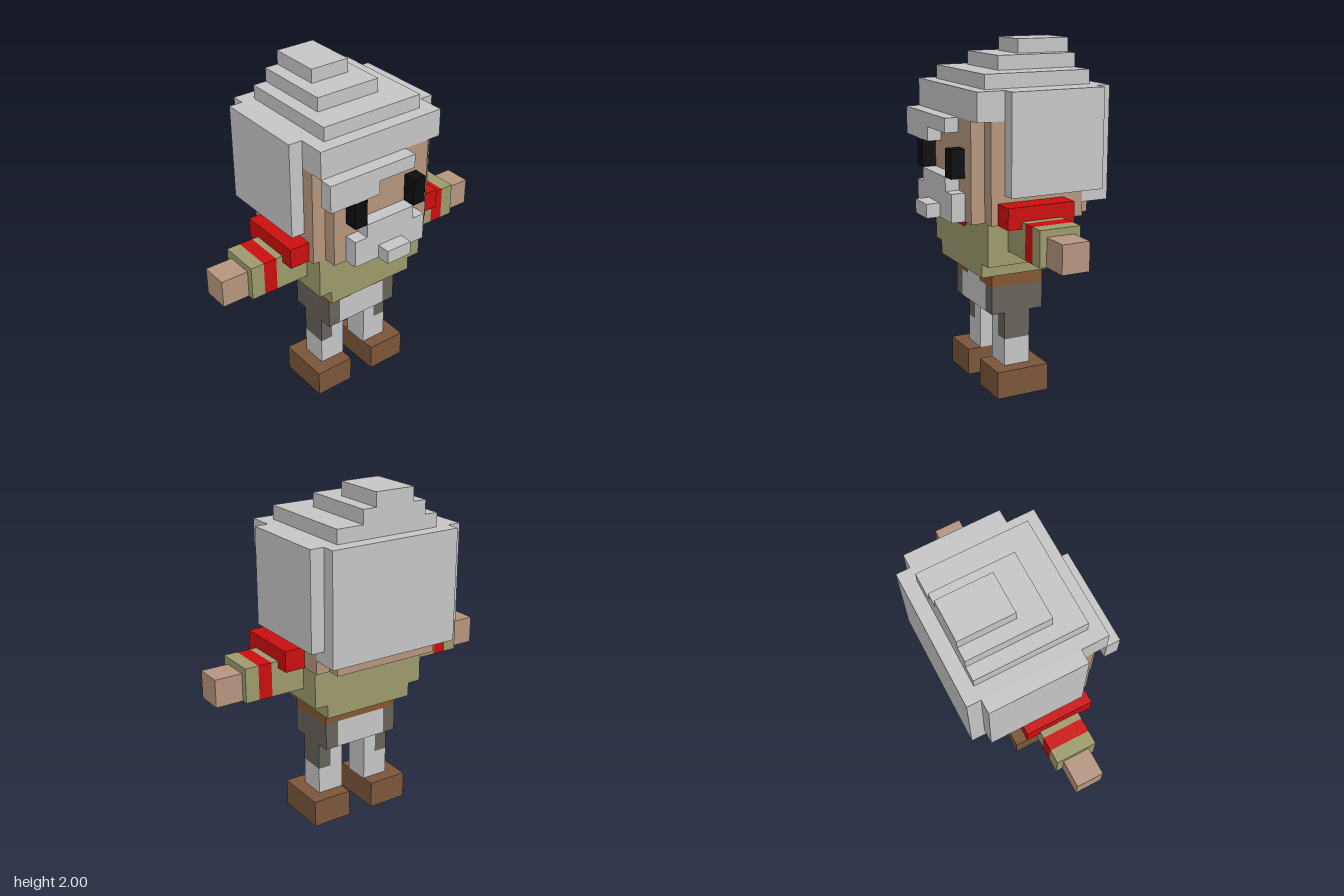
import * as THREE from 'three';

const paint = (name, color) => {
  const m = new THREE.MeshStandardMaterial({ color });
  m.name = name;
  return m;
};

export function createModel() {
  const root = new THREE.Group();
  root.name = 'blockFigure';
  const grey = paint('hair grey', 0xc5c5c5);
  const skin = paint('skin', 0xb5957e);
  const red = paint('red', 0xcb0e0e);
  const olive = paint('olive', 0x9c9a6b);
  const dark = paint('dark cloth', 0x66615a);
  const brown = paint('boot brown', 0x7a5539);
  const belt = paint('belt brown', 0x85552f);
  const black = paint('black', 0x0c0c0c);

  // Block given by its limits on each axis
  const block = (name, mat, [x0, x1], [y0, y1], [z0, z1]) => {
    const mesh = new THREE.Mesh(new THREE.BoxGeometry(x1 - x0, y1 - y0, z1 - z0), mat);
    mesh.position.set((x0 + x1) / 2, (y0 + y1) / 2, (z0 + z1) / 2);
    mesh.name = name;
    root.add(mesh);
  };
  // Same block on both sides
  const pair = (name, mat, [x0, x1], y, z) => {
    block(name + 'Left', mat, [x0, x1], y, z);
    block(name + 'Right', mat, [-x1, -x0], y, z);
  };

  // Boots and legs
  pair('boot', brown, [0.08, 0.32], [0, 0.16], [-0.16, 0.16]);
  pair('shin', grey, [0.08, 0.24], [0.16, 0.32], [-0.08, 0.08]);
  pair('innerKnee', grey, [0.08, 0.16], [0.32, 0.48], [-0.08, 0.08]);
  pair('outerKnee', dark, [0.16, 0.24], [0.32, 0.48], [-0.08, 0.08]);

  // Hips and belt
  block('hips', grey, [-0.16, 0.16], [0.48, 0.64], [-0.16, 0.16]);
  pair('hipSide', dark, [0.16, 0.24], [0.48, 0.64], [-0.16, 0.16]);
  pair('beltSide', belt, [0.08, 0.24], [0.64, 0.72], [-0.16, 0.16]);
  block('beltBack', belt, [-0.08, 0.08], [0.64, 0.72], [-0.16, -0.08]);
  block('beltGap', grey, [-0.08, 0.08], [0.64, 0.72], [-0.08, 0.16]);

  // Torso with a small scarf tip
  block('waist', olive, [-0.28, 0.28], [0.72, 0.8], [-0.24, 0.24]);
  block('chest', olive, [-0.36, 0.36], [0.8, 1.04], [-0.24, 0.24]);
  const tip = new THREE.Shape([[-0.08, 1.04], [-0.08, 0.98], [-0.06, 0.965], [0.06, 0.965], [0.08, 0.98], [0.08, 1.04]]
    .map(([x, y]) => new THREE.Vector2(x, y)));
  const scarf = new THREE.Mesh(new THREE.ExtrudeGeometry(tip, { depth: 0.004, bevelEnabled: false }), red);
  scarf.position.z = 0.24;
  scarf.name = 'scarfTip';
  root.add(scarf);

  // Arms
  pair('upperSleeve', olive, [0.36, 0.56], [0.88, 1.08], [-0.12, 0.12]);
  pair('armBand', red, [0.56, 0.64], [0.88, 1.08], [-0.12, 0.12]);
  pair('cuff', olive, [0.64, 0.72], [0.88, 1.08], [-0.12, 0.12]);
  pair('hand', skin, [0.72, 0.88], [0.88, 1.04], [-0.08, 0.08]);
  pair('shoulderPad', red, [0.38, 0.52], [1.04, 1.16], [-0.2, 0.2]);

  // Head
  block('head', skin, [-0.4, 0.4], [1.04, 1.6], [-0.32, 0.24]);
  block('face', skin, [-0.32, 0.32], [1.04, 1.6], [0.24, 0.32]);
  block('neckBack', skin, [-0.32, 0.32], [1.04, 1.12], [-0.4, -0.32]);
  pair('eye', black, [0.16, 0.24], [1.28, 1.44], [0.32, 0.4]);

  // Beard
  block('beard', grey, [-0.24, 0.24], [1.04, 1.2], [0.32, 0.4]);
  block('moustache', grey, [-0.16, 0.16], [1.2, 1.28], [0.32, 0.4]);
  block('beardTip', grey, [-0.08, 0.08], [1.04, 1.12], [0.4, 0.48]);

  // Hair: sides, back, fringe and stepped crown
  pair('hairSide', grey, [0.4, 0.48], [1.2, 1.76], [-0.4, 0.16]);
  block('hairBack', grey, [-0.4, 0.4], [1.12, 1.76], [-0.48, -0.4]);
  block('hairNape', grey, [-0.4, 0.4], [1.12, 1.6], [-0.4, -0.32]);
  block('fringeUpper', grey, [-0.4, 0.16], [1.52, 1.6], [0.32, 0.4]);
  block('fringeLower', grey, [-0.4, -0.08], [1.44, 1.52], [0.32, 0.4]);
  block('hairTop', grey, [-0.4, 0.4], [1.6, 1.76], [-0.4, 0.32]);
  block('crownLow', grey, [-0.32, 0.32], [1.76, 1.84], [-0.4, 0.24]);
  block('crownMiddle', grey, [-0.24, 0.16], [1.84, 1.92], [-0.4, 0.08]);
  block('crownTop', grey, [-0.16, 0.08], [1.92, 2], [-0.4, -0.08]);

  return root;
}
